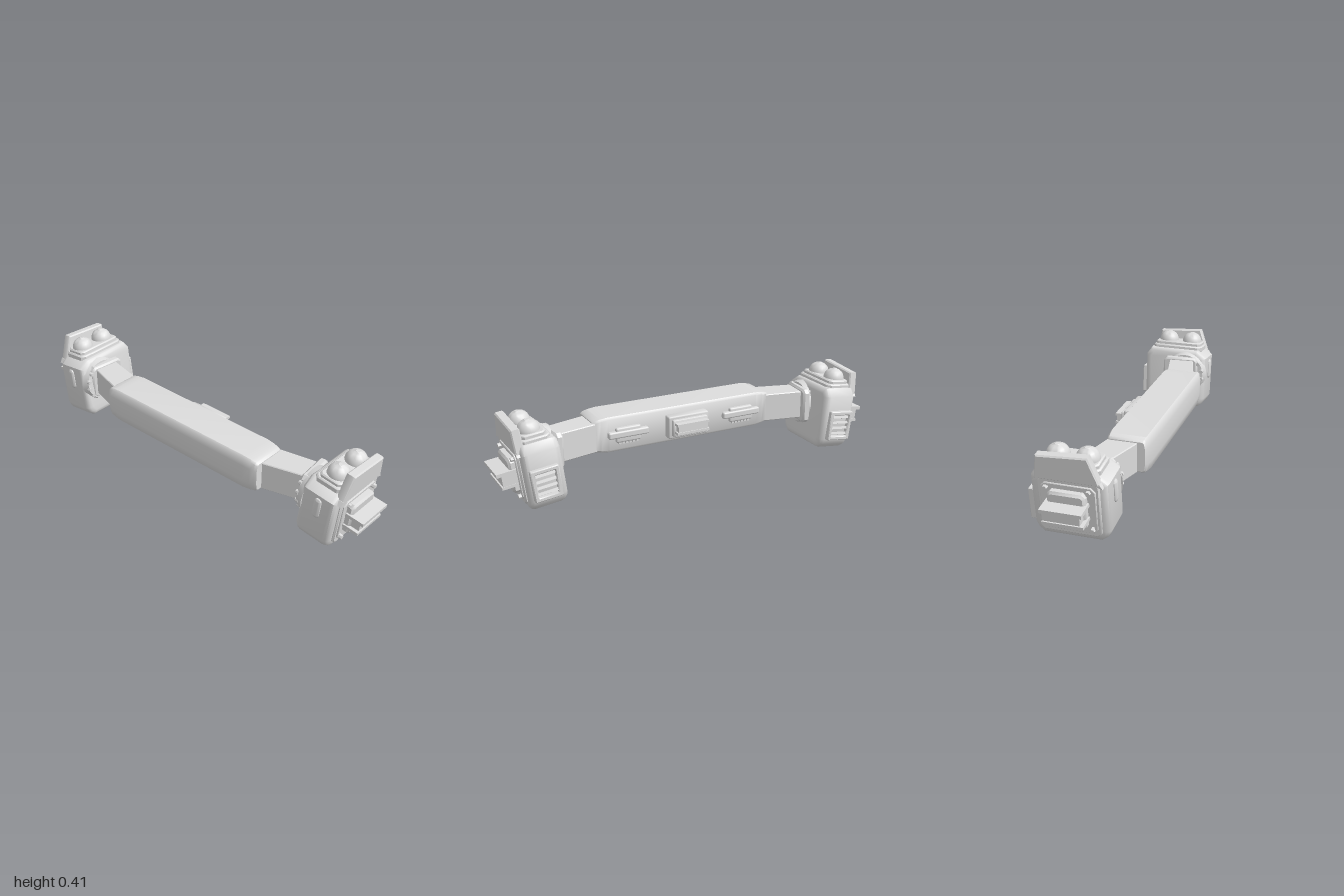
import * as THREE from 'three';
import { toCreasedNormals } from 'three/addons/utils/BufferGeometryUtils.js';
import { RoundedBoxGeometry } from 'three/addons/geometries/RoundedBoxGeometry.js';

const grey = new THREE.MeshStandardMaterial({ color: 0xdcdcdc });
grey.name = 'light grey';

function add(parent, name, geometry, x = 0, y = 0, z = 0) {
  const mesh = new THREE.Mesh(toCreasedNormals(geometry, 0.7), grey);
  mesh.name = name;
  mesh.position.set(x, y, z);
  parent.add(mesh);
  return mesh;
}

const box = (w, h, d) => new THREE.BoxGeometry(w, h, d);
const rounded = (w, h, d, r) => new RoundedBoxGeometry(w, h, d, 2, r);

// Extrude an outline from a to b along an axis; points are [z,y], [x,z] or [x,y].
function prism(points, axis, a, b, bevel = 0, hole = null, segments = 1) {
  const map = ([u, v]) => axis === 'x' ? new THREE.Vector2(-u, v)
    : axis === 'y' ? new THREE.Vector2(u, -v) : new THREE.Vector2(u, v);
  const shape = new THREE.Shape(points.map(map));
  if (hole) shape.holes.push(new THREE.Path(hole.map(map)));
  const g = new THREE.ExtrudeGeometry(shape, {
    depth: b - a - 2 * bevel, bevelEnabled: bevel > 0, bevelThickness: bevel,
    bevelSize: bevel, bevelOffset: -bevel, bevelSegments: segments,
  });
  g.translate(0, 0, a + bevel);
  if (axis === 'x') g.rotateY(Math.PI / 2);
  if (axis === 'y') g.rotateX(-Math.PI / 2);
  return g;
}

// Rectangle outline with cut corners
function cutRect(u0, u1, v0, v1, c) {
  return [[u0 + c, v0], [u1 - c, v0], [u1, v0 + c], [u1, v1 - c],
    [u1 - c, v1], [u0 + c, v1], [u0, v1 - c], [u0, v0 + c]];
}

// Long grip lofted from softly bowed sections that shrink at both ends
function gripGeometry() {
  const outline = [[0.005, 0.148], [0.014, 0.137], [0.187, 0.137], [0.196, 0.145], [0.203, 0.185],
    [0.203, 0.268], [0.196, 0.306], [0.187, 0.314], [0.014, 0.314], [0.005, 0.303]];
  const sections = [[-0.487, 0.80], [-0.475, 0.89], [-0.45, 0.95], [-0.41, 1],
    [0.41, 1], [0.45, 0.95], [0.475, 0.89], [0.487, 0.80]];
  const n = outline.length, cy = 0.2255, cz = 0.104;
  const pos = [], index = [];
  for (const [x, s] of sections) {
    for (const [z, y] of outline) pos.push(x, cy + (y - cy) * s, cz + (z - cz) * (0.4 + 0.6 * s));
  }
  const last = (sections.length - 1) * n;
  for (let s = 0; s < last; s += n) {
    for (let i = 0; i < n; i++) {
      const j = (i + 1) % n;
      index.push(s + i, s + j, s + n + j, s + i, s + n + j, s + n + i);
    }
  }
  for (let i = 1; i < n - 1; i++) index.push(0, i + 1, i, last, last + i, last + i + 1);
  // Orient the faces outward
  for (let i = 0; i < index.length; i += 3) {
    const [a, b, c] = [0, 1, 2].map(k => new THREE.Vector3().fromArray(pos, index[i + k] * 3));
    const normal = b.clone().sub(a).cross(c.clone().sub(a));
    const out = a.add(b).add(c).divideScalar(3).sub(new THREE.Vector3(0, cy, cz));
    if (normal.dot(out) < 0) [index[i + 1], index[i + 2]] = [index[i + 2], index[i + 1]];
  }
  const g = new THREE.BufferGeometry();
  g.setAttribute('position', new THREE.Float32BufferAttribute(pos, 3));
  g.setIndex(index);
  return g.toNonIndexed();
}

function buildHead() {
  const head = new THREE.Group();
  head.name = 'head';
  head.position.set(0.8, 0.17, 0);
  head.rotation.z = -0.125;

  // Rounded casing
  add(head, 'casing', prism([[0.122, -0.167], [-0.142, -0.167], [-0.167, -0.145], [-0.18, -0.115], [-0.183, 0.115],
    [-0.155, 0.155], [0.11, 0.155], [0.163, 0.115], [0.163, -0.115], [0.149, -0.146]], 'x', -0.097, 0.09, 0.03, null, 3));

  // Lamps on a stepped pedestal
  add(head, 'lampBase', prism(cutRect(-0.07, 0.075, -0.15, 0.125, 0.02), 'y', 0.14, 0.172, 0.006));
  add(head, 'lampPlate', prism(cutRect(-0.055, 0.062, -0.14, 0.115, 0.015), 'y', 0.165, 0.19, 0.006));
  for (const z of [-0.077, 0.055]) {
    const profile = [[0.053, 0], [0.053, 0.008], [0.051, 0.02], [0.046, 0.033], [0.038, 0.044],
      [0.027, 0.052], [0.012, 0.057], [0.01, 0.059], [0, 0.0595]];
    add(head, 'lamp', new THREE.LatheGeometry(profile.map(p => new THREE.Vector2(...p)), 24), 0.008, 0.182, z);
  }

  // Outer armour and raised upper shield
  add(head, 'outerPlate', prism(cutRect(-0.145, 0.13, -0.135, 0.13, 0.018), 'x', 0.08, 0.1, 0.006));
  add(head, 'upperShield', prism([[0.135, 0.12], [-0.155, 0.12], [-0.14, 0.232], [0.088, 0.247]],
    'x', 0.062, 0.106, 0.006));
  for (const [z, s] of [[0.133, 1], [-0.148, -1]]) {
    add(head, 'shieldFoot', prism([[z, 0.13], [z + s * 0.014, 0.108], [z - s * 0.03, 0.125]], 'x', 0.08, 0.104));
  }
  add(head, 'outerFrame', prism(cutRect(-0.13, 0.115, -0.115, 0.108, 0.02), 'x', 0.095, 0.107, 0.003,
    cutRect(-0.12, 0.105, -0.105, 0.098, 0.018)));
  for (const [z, y] of [[0.085, 0.087], [-0.105, 0.087], [0.094, -0.096], [-0.114, -0.096]]) {
    add(head, 'bolt', new THREE.CylinderGeometry(0.011, 0.012, 0.022, 6).rotateZ(-Math.PI / 2), 0.11, y, z);
  }

  // Outer bracket
  add(head, 'bracketPad', prism(cutRect(-0.095, 0.075, -0.09, 0.08, 0.016), 'x', 0.09, 0.132, 0.01));
  add(head, 'bracketBlock', box(0.075, 0.07, 0.165), 0.1375, -0.007, -0.0175);
  add(head, 'bracketShelf', box(0.095, 0.017, 0.187), 0.15, 0.025, -0.01);
  add(head, 'bracketSill', box(0.082, 0.014, 0.184), 0.141, -0.042, -0.01);

  // Front lozenge
  const lozenge = add(head, 'frontLozenge', new THREE.CapsuleGeometry(0.02, 0.07, 8, 20), 0, 0.045, 0.161);
  lozenge.scale.z = 0.6;

  // Rear vent
  add(head, 'ventFrame', prism(cutRect(-0.065, 0.07, -0.112, 0.041, 0.004), 'z', -0.204, -0.17, 0.004,
    cutRect(-0.045, 0.05, -0.092, 0.021, 0.002)));
  for (let i = 0; i < 4; i++) {
    const slat = add(head, 'ventSlat', box(0.1, 0.013, 0.018), 0.002, -0.079 + i * 0.029, -0.188);
    slat.rotation.x = 0.35;
  }
  return head;
}

function buildSide() {
  const side = new THREE.Group();
  side.name = 'leftEnd';
  side.add(buildHead());

  // Angled arm between grip and head
  add(side, 'arm', prism([[0.47, 0.012], [0.72, -0.04], [0.72, 0.09], [0.47, 0.158]], 'y', 0.148, 0.292, 0.004));

  // Collar where the arm meets the head
  add(side, 'collarDisc', new THREE.CylinderGeometry(0.105, 0.118, 0.035, 28)
    .rotateZ(Math.PI / 2), 0.705, 0.21, 0.05).rotation.z = -0.1;
  const socket = add(side, 'armSocket', prism(cutRect(-0.065, 0.125, 0.125, 0.305, 0.018), 'x', -0.02, 0.02, 0.009), 0.687);
  socket.rotation.y = 0.1;
  for (let i = 0; i < 4; i++) {
    const a = (i - 1.5) * 0.45;
    add(side, 'collarBolt', new THREE.CylinderGeometry(0.01, 0.012, 0.016, 8).rotateZ(Math.PI / 2),
      0.688, 0.21 + Math.sin(a) * 0.1, 0.05 + Math.cos(a) * 0.1);
  }

  // Small latch on the back of the grip
  add(side, 'latchPlate', rounded(0.13, 0.075, 0.026, 0.008), 0.313, 0.222, 0.002);
  add(side, 'latchBar', rounded(0.21, 0.034, 0.03, 0.008), 0.313, 0.226, -0.003);
  for (let i = 0; i < 6; i++) add(side, 'latchTooth', box(0.012, 0.012, 0.018), 0.268 + i * 0.018, 0.182, 0.002);
  return side;
}

// Mirrored copy across x with the face order restored
function mirror(source, name) {
  const out = new THREE.Group();
  out.name = name;
  source.updateMatrixWorld(true);
  const flip = new THREE.Matrix4().makeScale(-1, 1, 1);
  source.traverse(o => {
    if (!o.isMesh) return;
    const g = o.geometry.index ? o.geometry.toNonIndexed() : o.geometry.clone();
    g.applyMatrix4(flip.clone().multiply(o.matrixWorld));
    for (const attr of Object.values(g.attributes)) {
      const n = attr.itemSize, a = attr.array;
      for (let i = 0; i < a.length; i += 3 * n) {
        for (let k = 0; k < n; k++) [a[i + k], a[i + 2 * n + k]] = [a[i + 2 * n + k], a[i + k]];
      }
    }
    const mesh = new THREE.Mesh(g, grey);
    mesh.name = o.name;
    out.add(mesh);
  });
  return out;
}

export function createModel() {
  const model = new THREE.Group();
  model.name = 'doubleHeadedBar';
  add(model, 'grip', gripGeometry());

  // Central rear mount
  add(model, 'mountBase', rounded(0.22, 0.115, 0.05, 0.008), 0, 0.222, -0.012);
  add(model, 'mountStep', rounded(0.19, 0.085, 0.03, 0.006), 0, 0.222, -0.04);
  add(model, 'mountBlock', box(0.16, 0.05, 0.04), 0, 0.225, -0.062);
  for (const y of [0.204, 0.246]) add(model, 'mountRail', box(0.175, 0.012, 0.035), 0, y, -0.069);

  const side = buildSide();
  model.add(side, mirror(side, 'rightEnd'));
  return model;
}
